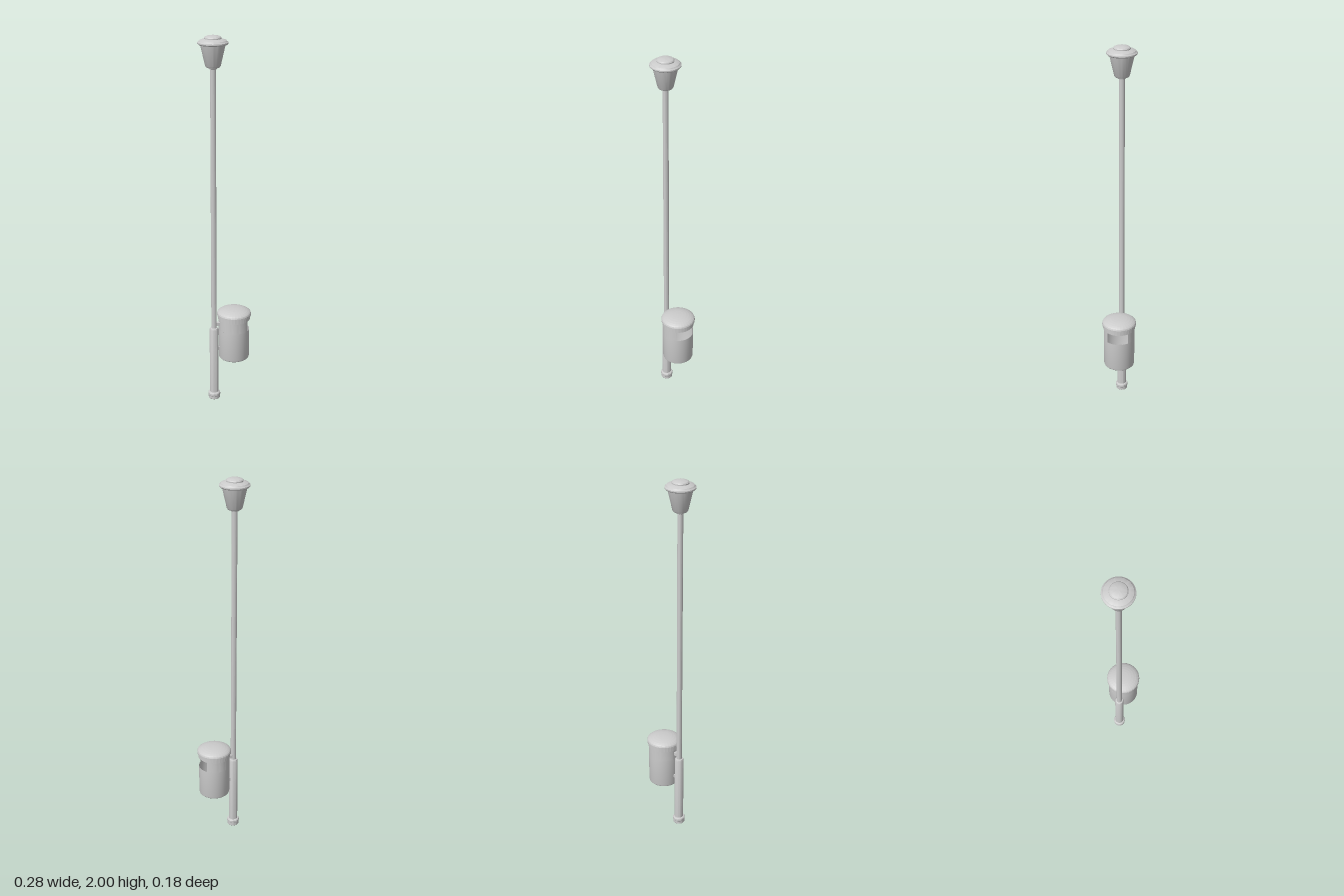
import * as THREE from 'three';
import { toCreasedNormals } from 'three/addons/utils/BufferGeometryUtils.js';

const POLE_X = -0.064, BIN_X = 0.048;

const grey = new THREE.MeshStandardMaterial({ color: 0xcccccc });
const greyThin = new THREE.MeshStandardMaterial({ color: 0xcccccc, side: THREE.DoubleSide });
const greyFacet = new THREE.MeshStandardMaterial({ color: 0xcccccc, flatShading: true });

// Turned part from [radius, height] pairs listed bottom to top
function turned(name, x, profile, material = grey, segments = 48, start = 0, sweep = Math.PI * 2) {
  const points = profile.map(([r, y]) => new THREE.Vector2(r, y));
  const lathe = new THREE.LatheGeometry(points, segments, start, sweep);
  const mesh = new THREE.Mesh(toCreasedNormals(lathe, 0.5), material);
  mesh.name = name;
  mesh.position.x = x;
  return mesh;
}

function createLamp() {
  const lamp = new THREE.Group();
  lamp.name = 'lampPost';

  lamp.add(turned('baseCollar', POLE_X, [
    [0, 0], [0.029, 0], [0.031, 0.003], [0.031, 0.018], [0.033, 0.021],
    [0.033, 0.032], [0.03, 0.037], [0.024, 0.039], [0, 0.039],
  ]));
  lamp.add(turned('lowerPole', POLE_X, [
    [0.024, 0.035], [0.024, 0.415], [0.021, 0.423], [0.0145, 0.425],
  ]));
  lamp.add(turned('upperPole', POLE_X, [[0.0145, 0.42], [0.0145, 1.85]]));

  // Tapered shade on a small neck
  lamp.add(turned('lampShade', POLE_X, [
    [0.0145, 1.832], [0.021, 1.835], [0.023, 1.842], [0.034, 1.843],
    [0.039, 1.85], [0.064, 1.958],
  ]));
  // Flared rim closing the shade
  lamp.add(turned('lampRim', POLE_X, [
    [0.06, 1.955], [0.072, 1.955], [0.077, 1.96], [0.077, 1.966],
    [0.07, 1.971], [0.068, 1.975], [0.045, 1.983], [0, 1.983],
  ]));
  // Shallow domed cap
  lamp.add(turned('lampCap', POLE_X, [
    [0.043, 1.981], [0.043, 1.988], [0.039, 1.993], [0.029, 1.997], [0.015, 1.9995], [0, 2],
  ]));
  return lamp;
}

function createBin() {
  const bin = new THREE.Group();
  bin.name = 'litterBin';
  const R = 0.083, sill = 0.408, head = 0.465, top = 0.492;

  // Closed lower part with a rounded bottom edge
  bin.add(turned('binBody', BIN_X, [
    [0, 0.237], [0.07, 0.237], [0.077, 0.239], [0.081, 0.243], [R, 0.25], [R, sill],
  ], greyThin));
  // Wall around the opening, which faces +x
  const half = 0.74;
  bin.add(turned('binUpperWall', BIN_X, [[R, sill], [R, head]], greyThin, 40,
    Math.PI / 2 + half, Math.PI * 2 - 2 * half));
  bin.add(turned('binTopBand', BIN_X, [[R, head], [R, top]], greyThin));
  // Small drain plug underneath
  bin.add(turned('drainPlug', BIN_X, [[0, 0.232], [0.012, 0.232], [0.012, 0.238]]));

  // Faceted lid: skirt, flange and shallow dome
  bin.add(turned('binLid', BIN_X, [
    [0.08, 0.469], [0.087, 0.469], [0.087, 0.488], [0.092, 0.49], [0.092, 0.5],
    [0.089, 0.507], [0.083, 0.512], [0.074, 0.517], [0.06, 0.522],
    [0.045, 0.5255], [0.03, 0.5275], [0.015, 0.5285], [0, 0.529],
  ], greyFacet, 32));

  // Brackets joining bin and pole
  for (const y of [0.3, 0.445]) {
    const inner = y > 0.42 ? POLE_X + 0.01 : POLE_X + 0.02;
    const outer = BIN_X - R + 0.002;
    const bracket = new THREE.Mesh(new THREE.BoxGeometry(outer - inner, 0.018, 0.022), grey);
    bracket.name = 'binBracket';
    bracket.position.set((inner + outer) / 2, y, 0);
    bin.add(bracket);
  }
  return bin;
}

export function createModel() {
  const model = new THREE.Group();
  model.name = 'lampPostWithBin';
  model.add(createLamp(), createBin());
  return model;
}
